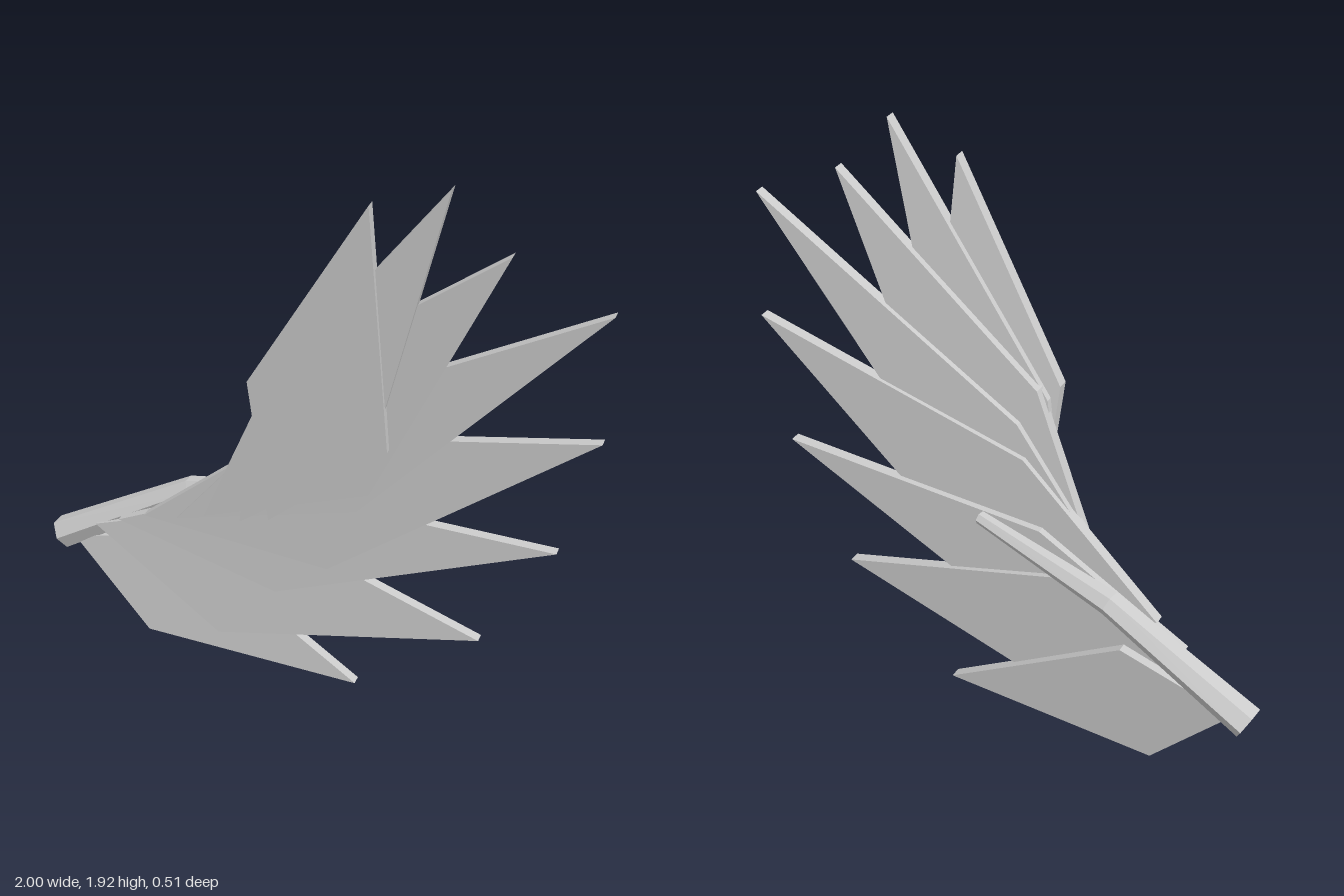
import * as THREE from 'three';

const grey = new THREE.MeshStandardMaterial({ color: 0xcccccc });
grey.name = 'paleGrey';

const THICKNESS = 0.04;
const RISE = 0.135; // how far each blade leans forward per unit of its length

// base, lower bend, tip, upper bend (x, y), then depth of the tip's middle
const FEATHERS = [
  [[-0.92, 0.32], [-0.63, 0.016], [0.155, 0.003], [-0.51, 0.41], -0.035],
  [[-0.82, 0.405], [-0.35, 0.09], [0.595, 0.303], [-0.30, 0.585], 0.047],
  [[-0.72, 0.455], [-0.13, 0.313], [0.845, 0.70], [-0.17, 0.705], 0.1],
  [[-0.61, 0.51], [0.067, 0.46], [0.975, 1.13], [-0.087, 0.928], 0.155],
  [[-0.48, 0.535], [0.174, 0.71], [0.995, 1.57], [-0.05, 1.034], 0.2],
  [[-0.37, 0.58], [0.222, 0.79], [0.685, 1.72], [-0.106, 1.158], 0.2],
  [[-0.23, 0.60], [0.235, 0.945], [0.505, 1.92], [-0.134, 1.12], 0.23],
  [[-0.12, 0.64], [0.295, 0.98], [0.255, 1.84], [-0.165, 1.165], 0.225],
];

// Kite-shaped blade, sheared forward along its own axis
function makeFeather([base, lower, tip, upper, tipZ]) {
  const shape = new THREE.Shape([base, lower, tip, upper].map((p) => new THREE.Vector2(...p)));
  const geometry = new THREE.ExtrudeGeometry(shape, { depth: THICKNESS, bevelEnabled: false });
  const end = new THREE.Vector2(...tip);
  const axis = end.clone().sub(new THREE.Vector2(...base)).normalize();
  const pos = geometry.attributes.position;
  for (let i = 0; i < pos.count; i++) {
    const along = (pos.getX(i) - end.x) * axis.x + (pos.getY(i) - end.y) * axis.y;
    pos.setZ(i, pos.getZ(i) - THICKNESS / 2 + tipZ + RISE * along);
  }
  geometry.computeVertexNormals();
  return new THREE.Mesh(geometry, grey);
}

// Bent, tapering six-sided bar through the given joints
function makeBone() {
  const joints = [
    [new THREE.Vector3(-0.975, 0.31, -0.198), 0.058],
    [new THREE.Vector3(-0.47, 0.585, -0.158), 0.043],
    [new THREE.Vector3(0.04, 0.705, -0.066), 0.023],
  ];
  const SIDES = 6;
  const up = new THREE.Vector3(0, 1, 0);
  const rings = joints.map(([centre, radius], j) => {
    const before = joints[Math.max(j - 1, 0)][0];
    const after = joints[Math.min(j + 1, joints.length - 1)][0];
    const along = after.clone().sub(before).normalize();
    const side = along.clone().cross(up).normalize();
    const top = side.clone().cross(along);
    return Array.from({ length: SIDES }, (_, i) => {
      const a = (i / SIDES) * Math.PI * 2;
      return centre.clone()
        .addScaledVector(side, radius * Math.cos(a))
        .addScaledVector(top, radius * Math.sin(a));
    });
  });
  const points = [];
  const last = rings.length - 1;
  for (let i = 0; i < SIDES; i++) {
    const n = (i + 1) % SIDES;
    for (let j = 0; j < last; j++) {
      const [a, b] = [rings[j], rings[j + 1]];
      points.push(a[i], b[i], a[n], a[n], b[i], b[n]);
    }
    // end caps
    points.push(joints[0][0], rings[0][i], rings[0][n]);
    points.push(joints[last][0], rings[last][n], rings[last][i]);
  }
  const geometry = new THREE.BufferGeometry().setFromPoints(points);
  geometry.computeVertexNormals();
  return new THREE.Mesh(geometry, grey);
}

export function createModel() {
  const wing = new THREE.Group();
  wing.name = 'wing';

  const bone = makeBone();
  bone.name = 'wingBone';
  wing.add(bone);

  FEATHERS.forEach((spec, i) => {
    const feather = makeFeather(spec);
    feather.name = `feather${i + 1}`;
    wing.add(feather);
  });
  return wing;
}
